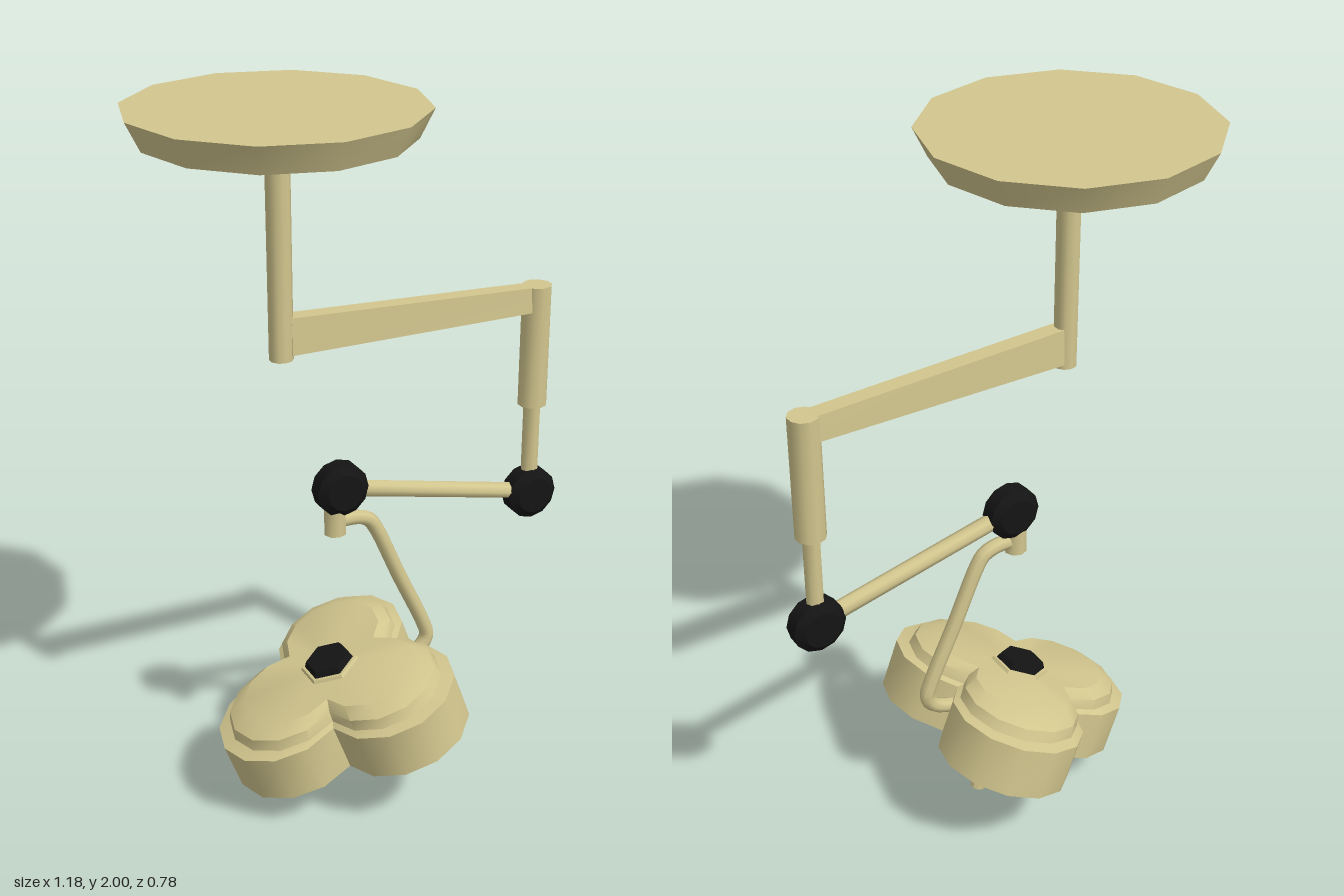
import * as THREE from 'three';
import { toCreasedNormals } from 'three/addons/utils/BufferGeometryUtils.js';

const cream = new THREE.MeshStandardMaterial({ color: 0xd2c68e });
const black = new THREE.MeshStandardMaterial({ color: 0x141414 });

function add(parent, name, geometry, material, x = 0, y = 0, z = 0) {
  const mesh = new THREE.Mesh(geometry, material);
  mesh.name = name;
  mesh.position.set(x, y, z);
  parent.add(mesh);
  return mesh;
}

// Upright cylinder or cone between two heights
function post(parent, name, x, y0, y1, rBottom, rTop, sides, material = cream) {
  const geo = toCreasedNormals(new THREE.CylinderGeometry(rTop, rBottom, y1 - y0, sides), 0.9);
  return add(parent, name, geo, material, x, (y0 + y1) / 2);
}

// Three-lobed outline, counter-clockwise seen from above
function trefoil(centre = 0.18, radius = 0.19, steps = 8) {
  const half = THREE.MathUtils.degToRad(115);
  const points = [];
  for (let lobe = 0; lobe < 3; lobe++) {
    const axis = Math.PI / 3 + lobe * Math.PI * 2 / 3;
    for (let i = 0; i < steps; i++) {
      const a = axis - half + (2 * half * i) / steps;
      points.push([
        centre * Math.cos(axis) + radius * Math.cos(a),
        -centre * Math.sin(axis) - radius * Math.sin(a),
      ]);
    }
  }
  return points;
}

// Skin stacked copies of an outline; each row is [height, scale]
function loft(outline, rows) {
  const n = outline.length, positions = [], index = [];
  for (const [y, s] of rows) for (const [x, z] of outline) positions.push(x * s, y, z * s);
  for (let i = 0; i < rows.length - 1; i++) {
    for (let j = 0; j < n; j++) {
      const k = (j + 1) % n;
      const a = i * n + j, b = i * n + k, c = b + n, d = a + n;
      if (rows[i][1] > 0) index.push(a, b, c);
      if (rows[i + 1][1] > 0) index.push(a, c, d);
      else if (rows[i][1] > 0) continue;
    }
  }
  const geo = new THREE.BufferGeometry();
  geo.setAttribute('position', new THREE.Float32BufferAttribute(positions, 3));
  geo.setIndex(index);
  return toCreasedNormals(geo, 0.6);
}

function lathe(profile, sides) {
  return toCreasedNormals(
    new THREE.LatheGeometry(profile.map(([r, y]) => new THREE.Vector2(r, y)), sides), 0.6);
}

export function createModel() {
  const model = new THREE.Group();
  model.name = 'ceilingLamp';

  // All arms lie in one vertical plane, turned about the ceiling post
  const rig = new THREE.Group();
  rig.name = 'rig';
  rig.position.set(-0.2175, 0, 0.0175);
  rig.rotation.y = THREE.MathUtils.degToRad(15.8);
  model.add(rig);

  // Ceiling mount
  post(rig, 'ceilingPlate', 0, 1.925, 2, 0.347, 0.384, 12);
  post(rig, 'ceilingCollar', 0, 1.885, 1.925, 0.085, 0.108, 12, black);
  post(rig, 'ceilingPost', 0, 1.345, 1.89, 0.032, 0.032, 10);

  // Upper arm: a beam that gets lower towards its outer end
  const beam = new THREE.BoxGeometry(0.72, 0.1, 0.056);
  const p = beam.attributes.position;
  for (let i = 0; i < p.count; i++) {
    if (p.getY(i) > 0) {
      p.setZ(i, p.getZ(i) * 0.85);
      if (p.getX(i) > 0) p.setY(i, 0.02);
    }
  }
  add(rig, 'upperArm', toCreasedNormals(beam, 0.3), cream, 0.38, 1.41);

  // Outer column
  post(rig, 'columnSleeve', 0.759, 1.08, 1.43, 0.041, 0.041, 10);
  post(rig, 'columnRod', 0.759, 0.81, 1.09, 0.024, 0.024, 8);

  // Round hinges at both ends of the lower arm
  const hinge = lathe([[0, -0.04], [0.052, -0.04], [0.075, -0.022],
    [0.075, 0.022], [0.052, 0.04], [0, 0.04]], 12);
  const ends = [new THREE.Vector3(0.759, 0.81, 0), new THREE.Vector3(0.164, 0.945, 0)];
  for (const end of ends) {
    add(rig, 'hinge', hinge, black, end.x, end.y, 0).rotation.x = Math.PI / 2;
  }
  const span = ends[1].clone().sub(ends[0]);
  const lowerArm = add(rig, 'lowerArm',
    toCreasedNormals(new THREE.CylinderGeometry(0.024, 0.024, span.length(), 8), 0.9), cream);
  lowerArm.position.copy(ends[0]).addScaledVector(span, 0.5);
  lowerArm.quaternion.setFromUnitVectors(new THREE.Vector3(0, 1, 0), span.normalize());

  // Socket and bent tube carrying the lamp head
  post(rig, 'socket', 0.148, 0.812, 0.92, 0.031, 0.031, 8);
  const path = new THREE.CatmullRomCurve3([
    [0.148, 0.848], [0.215, 0.846], [0.25, 0.832], [0.272, 0.8], [0.345, 0.635],
    [0.425, 0.46], [0.436, 0.42], [0.415, 0.384], [0.32, 0.347],
  ].map(([x, y]) => new THREE.Vector3(x, y, 0)), false, 'centripetal');
  add(rig, 'hangerTube', new THREE.TubeGeometry(path, 40, 0.021, 8), cream);

  // Lamp head, tilted; its origin is the tip of the handle
  const head = new THREE.Group();
  head.name = 'lampHead';
  head.position.set(0.273, 0.01, 0);
  head.rotation.z = THREE.MathUtils.degToRad(20.2);
  rig.add(head);

  // Housing: dished underside, tall wall, ledge and raised top
  add(head, 'housing', loft(trefoil(), [
    [0.245, 0], [0.209, 1], [0.356, 1], [0.364, 0.9],
    [0.394, 0.87], [0.418, 0.73], [0.418, 0],
  ]), cream);
  post(head, 'knobBase', 0, 0.412, 0.427, 0.088, 0.08, 6);
  post(head, 'knob', 0, 0.42, 0.444, 0.075, 0.062, 6, black);

  // Handle below
  post(head, 'handleCollar', 0, 0.203, 0.25, 0.05, 0.058, 12, black);
  add(head, 'handle', lathe([[0, 0], [0.021, 0], [0.024, 0.06], [0.029, 0.12],
    [0.041, 0.17], [0.043, 0.21], [0, 0.21]], 10), cream);

  return model;
}
